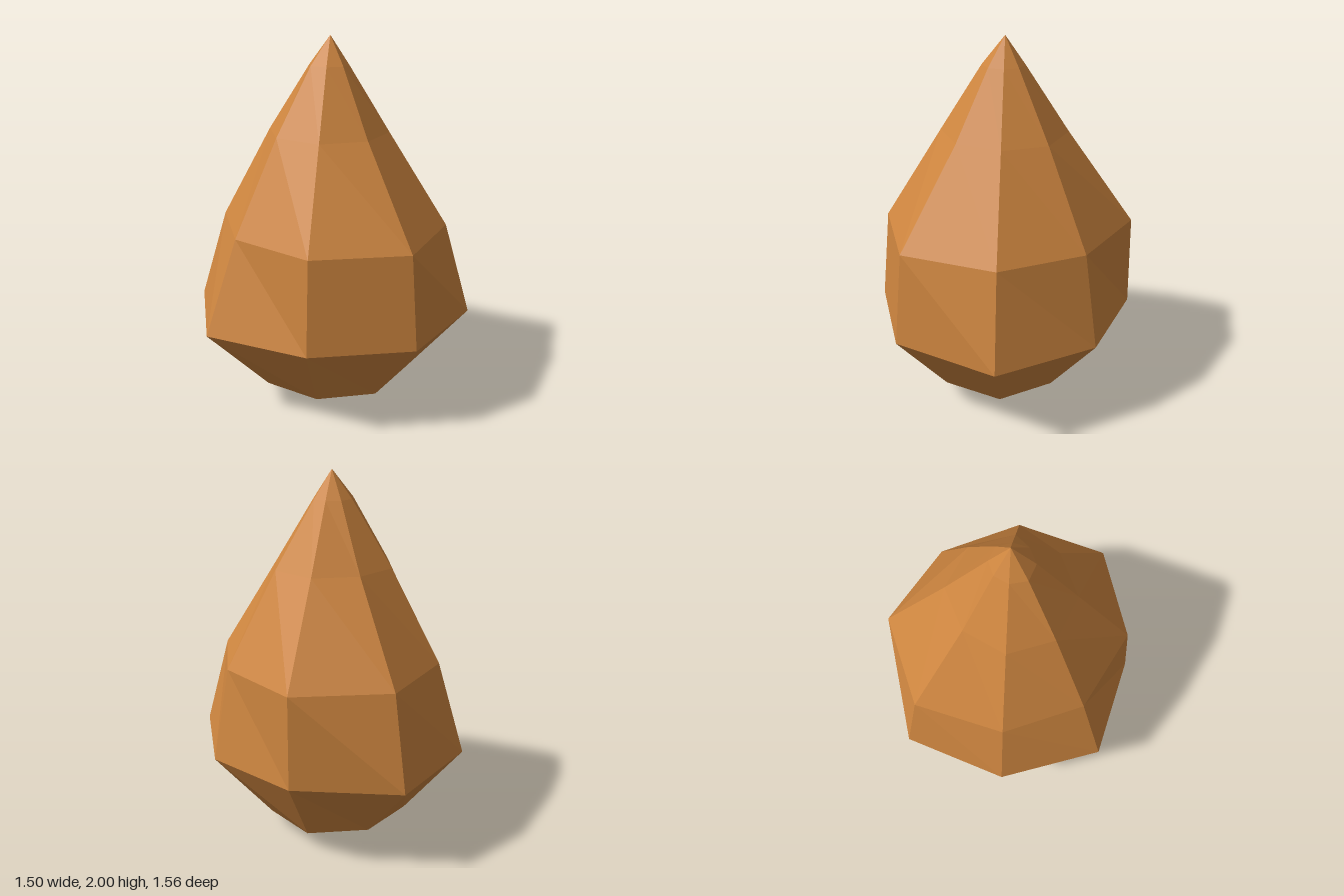
import * as THREE from 'three';

// Each ring: height, then eight radii going round from the front (+z) towards +x
const RINGS = [
  [0.0, 0, 0, 0, 0, 0, 0, 0, 0],
  [0.1, 0.435, 0.44, 0.39, 0.44, 0.43, 0.43, 0.42, 0.42],
  [0.5, 0.755, 0.785, 0.71, 0.70, 0.80, 0.75, 0.79, 0.70],
  [1.0, 0.70, 0.64, 0.615, 0.69, 0.685, 0.60, 0.60, 0.65],
  [1.5, 0.33, 0.32, 0.33, 0.335, 0.315, 0.33, 0.34, 0.34],
  [1.85, 0.115, 0.10, 0.105, 0.105, 0.105, 0.11, 0.125, 0.12],
  [2.0, 0, 0, 0, 0, 0, 0, 0, 0],
];
const SIDES = 8;

export function createModel() {
  const group = new THREE.Group();
  group.name = 'facetedDrop';

  const amber = new THREE.MeshStandardMaterial({ color: 0xcd853f, flatShading: true });
  amber.name = 'amber brown';

  // Eight-sided lathe whose corners are pushed to slightly uneven radii
  const lathe = new THREE.LatheGeometry(RINGS.map(([y]) => new THREE.Vector2(1, y)), SIDES);
  const pos = lathe.attributes.position;
  for (let i = 0; i < pos.count; i++) {
    const side = Math.floor(i / RINGS.length) % SIDES;
    const [y, ...radii] = RINGS[i % RINGS.length];
    const angle = (side / SIDES) * Math.PI * 2;
    pos.setXYZ(i, Math.sin(angle) * radii[side], y, Math.cos(angle) * radii[side]);
  }
  const geometry = lathe.toNonIndexed();
  geometry.computeVertexNormals();

  const body = new THREE.Mesh(geometry, amber);
  body.name = 'body';
  body.position.set(0.04, 0, 0.02); // the axis sits a little off centre
  group.add(body);
  return group;
}
